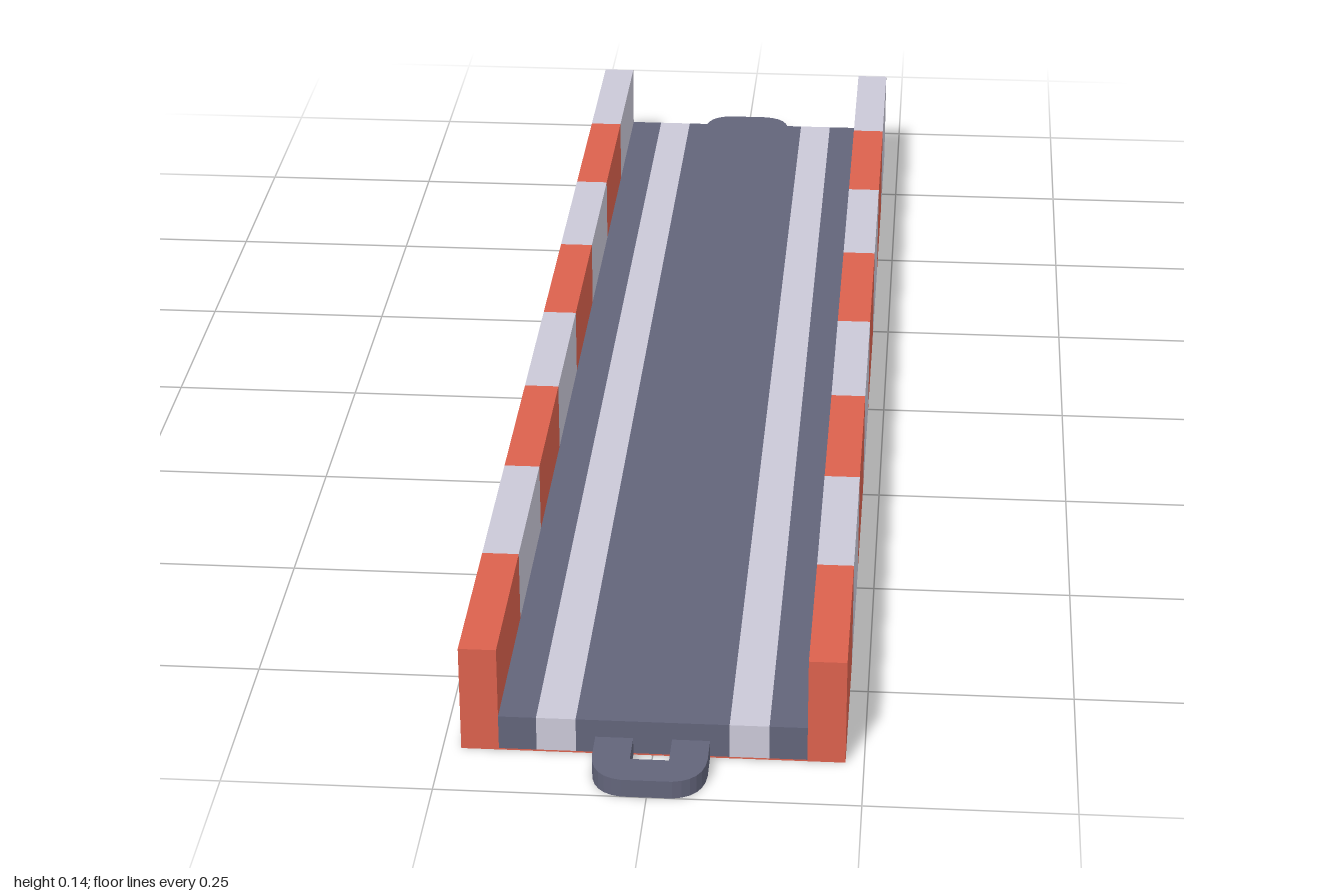
import * as THREE from 'three';

const END = 0.91, HALF_W = 0.228, INNER = 0.183, WALL_H = 0.137, DECK_H = 0.046, SKIN = 0.002;

function material(name, color) {
  const m = new THREE.MeshStandardMaterial({ color });
  m.name = name;
  return m;
}

export function createModel() {
  const red = material('barrier red', 0xdb614d);
  const pale = material('pale grey', 0xcac8d7);
  const dark = material('asphalt', 0x62647a);
  const model = new THREE.Group();
  model.name = 'roadSection';

  // Box given by its limits on each axis
  const box = (name, mat, x0, x1, y0, y1, z0, z1) => {
    const mesh = new THREE.Mesh(new THREE.BoxGeometry(x1 - x0, y1 - y0, z1 - z0), mat);
    mesh.position.set((x0 + x1) / 2, (y0 + y1) / 2, (z0 + z1) / 2);
    mesh.name = name;
    model.add(mesh);
  };

  // Alternating blocks: side walls and the striped underside
  const count = 8, step = 2 * END / count;
  for (let i = 0; i < count; i++) {
    const z1 = END - i * step, z0 = z1 - step;
    const mat = i % 2 ? pale : red;
    box('leftWall', mat, INNER, HALF_W, 0, WALL_H, z0, z1);
    box('rightWall', mat, -HALF_W, -INNER, 0, WALL_H, z0, z1);
    box('underside', mat, -INNER, INNER, 0, SKIN, z0, z1);
  }

  // Road deck in lengthwise strips
  const edges = [-INNER, -0.138, -0.091, 0.091, 0.138, INNER];
  for (let i = 0; i < edges.length - 1; i++) {
    const line = i % 2 === 1;
    box(line ? 'laneLine' : 'roadway', line ? pale : dark,
      edges[i], edges[i + 1], SKIN, DECK_H, -END, END);
  }

  // Rounded coupling loop at each end, its slot open towards the deck
  const outline = new THREE.Shape();
  outline.moveTo(0.023, END);
  outline.lineTo(0.068, END);
  outline.lineTo(0.068, 0.95);
  outline.quadraticCurveTo(0.066, 0.995, 0.03, 1);
  outline.lineTo(-0.03, 1);
  outline.quadraticCurveTo(-0.066, 0.995, -0.068, 0.95);
  outline.lineTo(-0.068, END);
  outline.lineTo(-0.023, END);
  outline.lineTo(-0.023, 0.955);
  outline.lineTo(0.023, 0.955);
  outline.closePath();
  const loop = new THREE.ExtrudeGeometry(outline, { depth: 0.023, bevelEnabled: false, curveSegments: 6 });
  loop.rotateX(Math.PI / 2).translate(0, 0.023, 0);
  for (const [name, turn] of [['frontCoupling', 0], ['backCoupling', Math.PI]]) {
    const mesh = new THREE.Mesh(loop, dark);
    mesh.rotation.y = turn;
    mesh.name = name;
    model.add(mesh);
  }
  return model;
}
